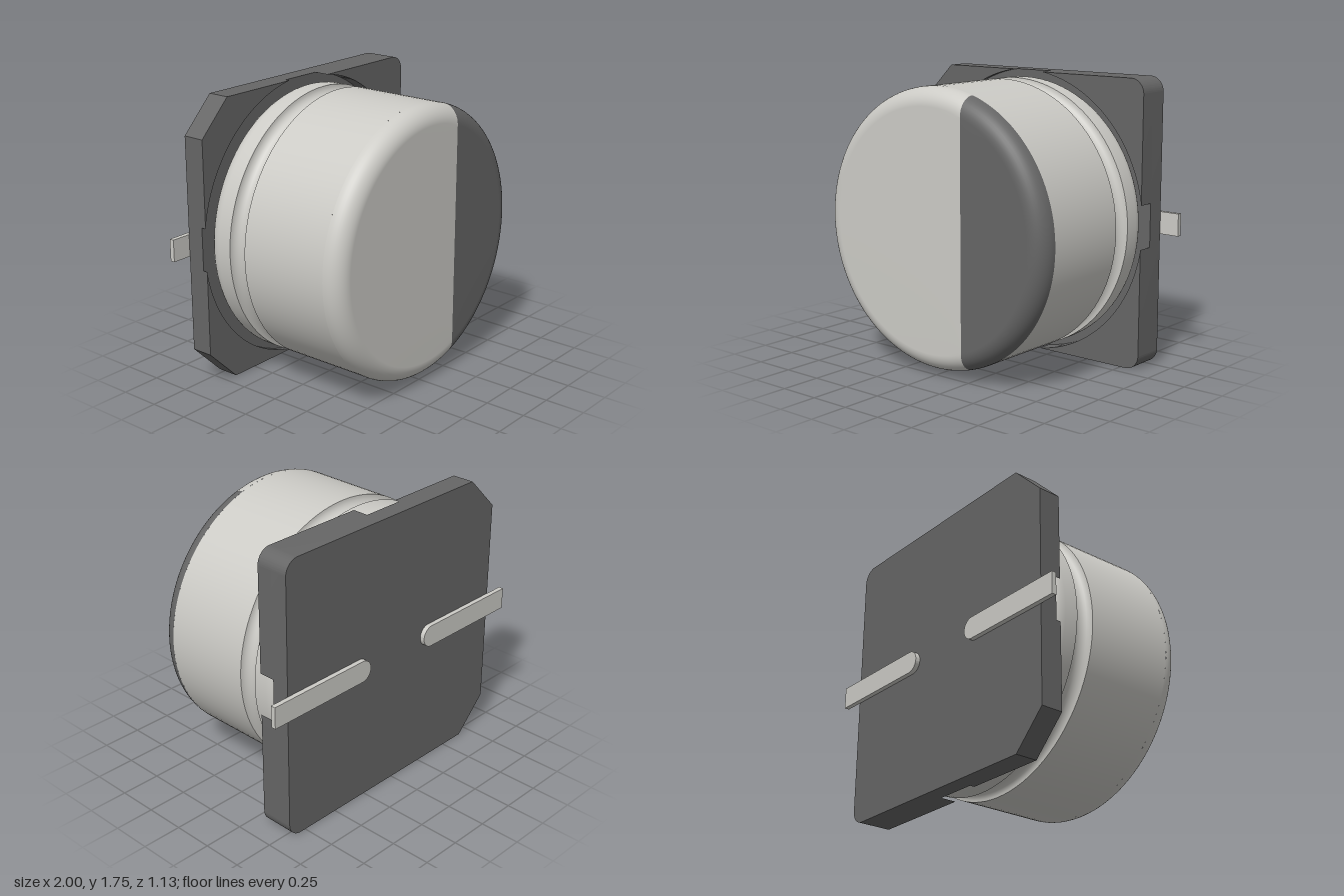
import * as THREE from 'three';
import { toCreasedNormals } from 'three/addons/utils/BufferGeometryUtils.js';

const CY = 0.875;            // height of the can axis
const HALF = 0.875;          // half width of the base
const R = 0.84;              // can radius
const FILLET = 0.11;         // rounding of the front rim
const FRONT = 0.565;         // front face of the can
const FLOOR = -0.43;         // floor of the round recess
const BACK = -0.54;          // rear face of the base
const MARK_X = 0.25;         // edge of the polarity mark

const metal = new THREE.MeshStandardMaterial({ color: 0xcccbc6 });
const dark = new THREE.MeshStandardMaterial({ color: 0x666666 });

function add(group, name, geometry, material) {
  const mesh = new THREE.Mesh(geometry, material);
  mesh.name = name;
  group.add(mesh);
  return mesh;
}

// Extrude a shape between two depths
function slab(shape, z0, z1) {
  const g = new THREE.ExtrudeGeometry(shape, { depth: z1 - z0, bevelEnabled: false, curveSegments: 32 });
  g.translate(0, 0, z0);
  return toCreasedNormals(g, 0.5);
}

// Can side: rounded rear, crimp groove, straight wall up to the front rim
function canGeometry() {
  const pts = [new THREE.Vector2(0, FLOOR)];
  const arc = (cx, cz, r, a0, a1, n) => {
    for (let i = 0; i <= n; i++) {
      const a = a0 + (a1 - a0) * i / n;
      pts.push(new THREE.Vector2(cx + r * Math.cos(a), cz + r * Math.sin(a)));
    }
  };
  arc(R - 0.1, FLOOR + 0.1, 0.1, -Math.PI / 2, 0, 8);
  arc(R, -0.185, 0.058, Math.PI * 1.5, Math.PI / 2, 14);
  pts.push(new THREE.Vector2(R, FRONT - FILLET));
  const g = new THREE.LatheGeometry(pts, 96);
  g.rotateX(Math.PI / 2);
  return toCreasedNormals(g, 0.6);
}

// Part of the rounded front, on one side of the mark edge
function frontGeometry(marked) {
  const rows = 11, cols = 80, pos = [], idx = [];
  for (let i = 0; i <= rows; i++) {
    const a = Math.min(i / (rows - 1), 1) * Math.PI / 2;
    const r = R - FILLET + FILLET * Math.cos(a);
    const z = FRONT - FILLET + FILLET * Math.sin(a);
    const edge = Math.acos(MARK_X / r);
    const t0 = marked ? -edge : edge;
    const t1 = marked ? edge : Math.PI * 2 - edge;
    for (let j = 0; j <= cols; j++) {
      const t = t0 + (t1 - t0) * j / cols;
      // the last row lies on the straight mark edge and closes the flat face
      if (i < rows) pos.push(r * Math.cos(t), r * Math.sin(t), z);
      else pos.push(MARK_X, r * Math.sin(t0) * (1 - 2 * j / cols), z);
    }
  }
  const w = cols + 1;
  for (let i = 0; i < rows; i++) {
    for (let j = 0; j < cols; j++) {
      const a = i * w + j;
      idx.push(a, a + 1, a + w, a + 1, a + w + 1, a + w);
    }
  }
  const g = new THREE.BufferGeometry();
  g.setAttribute('position', new THREE.Float32BufferAttribute(pos, 3));
  g.setIndex(idx);
  g.computeVertexNormals();
  return g;
}

// Base outline: two chamfered corners at -x, two rounded at +x
function baseShape() {
  const h = HALF, c = 0.21, r = 0.09, s = new THREE.Shape();
  s.moveTo(-h + c, -h);
  s.lineTo(h - r, -h);
  s.absarc(h - r, -h + r, r, -Math.PI / 2, 0, false);
  s.lineTo(h, h - r);
  s.absarc(h - r, h - r, r, 0, Math.PI / 2, false);
  s.lineTo(-h + c, h);
  s.lineTo(-h, h - c);
  s.lineTo(-h, -h + c);
  s.closePath();
  return s;
}

// Raised corner between the base outline and the round recess
function cornerShape(sx, sy) {
  const h = HALF, r = 0.09, c = 0.21, rc = 0.885;
  const a = Math.acos(h / rc), e = rc * Math.sin(a);
  const s = new THREE.Shape();
  s.moveTo(h, e);
  if (sx > 0) {
    s.lineTo(h, h - r);
    s.absarc(h - r, h - r, r, 0, Math.PI / 2, false);
  } else {
    s.lineTo(h, h - c);
    s.lineTo(h - c, h);
  }
  s.lineTo(e, h);
  s.absarc(0, 0, rc, Math.PI / 2 - a, a, true);
  return new THREE.Shape(s.getPoints(24).map(p => new THREE.Vector2(p.x * sx, p.y * sy)));
}

// Flat lead with a round inner end
function leadShape(side) {
  const w = 0.068, s = new THREE.Shape();
  s.moveTo(1, -w);
  s.lineTo(1, w);
  s.lineTo(0.235 + w, w);
  s.absarc(0.235 + w, 0, w, Math.PI / 2, Math.PI * 1.5, false);
  return new THREE.Shape(s.getPoints(16).map(p => new THREE.Vector2(p.x * side, p.y)));
}

export function createModel() {
  const model = new THREE.Group();
  model.name = 'capacitor';

  // Can
  const can = new THREE.Group();
  can.name = 'can';
  add(can, 'canBody', canGeometry(), metal);
  add(can, 'canFront', frontGeometry(false), metal);
  add(can, 'polarityMark', frontGeometry(true), dark);

  // Base, with lower corners on the chamfered side
  const base = new THREE.Group();
  base.name = 'base';
  add(base, 'basePlate', slab(baseShape(), BACK, FLOOR), dark);
  for (const sx of [-1, 1]) {
    for (const sy of [-1, 1]) {
      const name = (sy > 0 ? 'upper' : 'lower') + (sx > 0 ? 'Left' : 'Right') + 'Corner';
      add(base, name, slab(cornerShape(sx, sy), FLOOR, sx > 0 ? -0.33 : -0.4), dark);
    }
  }

  // Leads
  const leads = new THREE.Group();
  leads.name = 'leads';
  for (const side of [-1, 1]) {
    add(leads, side > 0 ? 'leftLead' : 'rightLead', slab(leadShape(side), -0.57, BACK), metal);
  }

  for (const part of [can, base, leads]) {
    part.position.y = CY;
    model.add(part);
  }
  return model;
}
